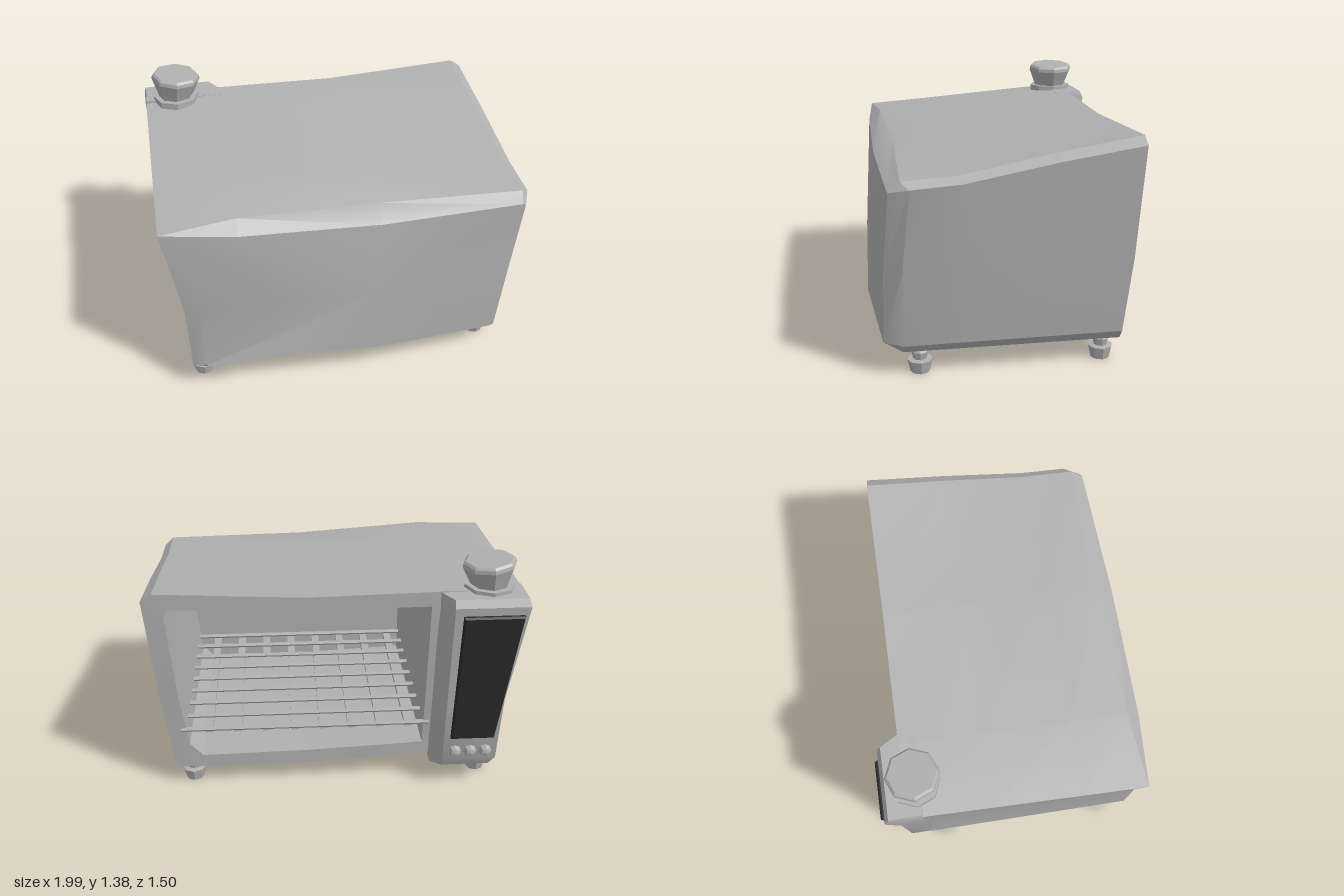
import * as THREE from 'three';
import { toCreasedNormals } from 'three/addons/utils/BufferGeometryUtils.js';

const steel = new THREE.MeshStandardMaterial({ color: 0xb0b0b0 });
steel.name = 'steel grey';
const black = new THREE.MeshStandardMaterial({ color: 0x2a2a2a });
black.name = 'display black';

// Skin a series of equal-length loops; both ends are closed with fans.
function loft(loops, startCentre, endCentre) {
  const pos = [];
  const tri = (a, b, c) => pos.push(...a, ...b, ...c);
  const mean = (l) => [0, 1, 2].map((k) => l.reduce((s, p) => s + p[k], 0) / l.length);
  const first = loops[0], last = loops[loops.length - 1], n = first.length;
  const c0 = startCentre || mean(first), c1 = endCentre || mean(last);
  for (let i = 0; i < n; i++) {
    const j = (i + 1) % n;
    tri(c0, first[i], first[j]);
    for (let k = 0; k + 1 < loops.length; k++) {
      const A = loops[k], B = loops[k + 1];
      tri(A[i], B[i], B[j]);
      tri(A[i], B[j], A[j]);
    }
    tri(c1, last[j], last[i]);
  }
  const g = new THREE.BufferGeometry();
  g.setAttribute('position', new THREE.Float32BufferAttribute(pos, 3));
  g.computeVertexNormals();
  return g;
}

function lathe(profile, sides = 8) {
  return new THREE.LatheGeometry(profile.map((p) => new THREE.Vector2(...p)), sides);
}

export function createModel() {
  const model = new THREE.Group();
  model.name = 'toasterOven';

  function add(name, geo, mat = steel, at = [0, 0, 0], parent = model) {
    const mesh = new THREE.Mesh(toCreasedNormals(geo, 0.45), mat);
    mesh.name = name;
    mesh.position.set(...at);
    parent.add(mesh);
    return mesh;
  }

  // Housing: loops run from the closed face, over the rim and into the cavity
  const rimZ = (y) => -0.55 - 0.06 * THREE.MathUtils.clamp((y - 0.35) / 0.45, 0, 1);
  const face = [
    [-0.82, 0.2, 0.7], [-0.64, 0.2, 0.72], [-0.56, 0.235, 0.725], [0.15, 0.2, 0.75], [0.82, 0.18, 0.7],
    [0.845, 0.19, 0.7], [0.89, 0.6, 0.69], [0.95, 1.01, 0.66], [0.93, 1.02, 0.665], [0.15, 1.025, 0.69],
    [-0.6, 1.06, 0.68], [-0.95, 1.05, 0.655], [-0.82, 0.6, 0.69], [-0.83, 0.21, 0.695]];
  const bevel = [
    [-0.85, 0.15, 0.64], [-0.62, 0.15, 0.62], [-0.55, 0.17, 0.6], [0.15, 0.125, 0.6], [0.85, 0.13, 0.6],
    [0.89, 0.18, 0.6], [0.945, 0.6, 0.6], [0.995, 1.03, 0.56], [0.95, 1.062, 0.6], [0.15, 1.085, 0.58],
    [-0.6, 1.125, 0.61], [-0.995, 1.1, 0.645], [-0.91, 0.6, 0.66], [-0.9, 0.18, 0.66]];
  const back = [
    [-0.85, 0.14], [-0.62, 0.145], [-0.55, 0.17], [0.15, 0.125], [0.86, 0.125],
    [0.9, 0.18], [0.945, 0.6], [0.99, 1.2], [0.93, 1.24], [0.15, 1.2],
    [-0.6, 1.215], [-0.985, 1.2], [-0.91, 0.6], [-0.9, 0.18]].map(([x, y]) => [x, y, rimZ(y)]);
  const opening = [
    [-0.5, 0.24], [-0.45, 0.24], [-0.4, 0.235], [0.15, 0.21], [0.74, 0.2],
    [0.81, 0.28], [0.845, 0.6], [0.88, 1.11], [0.86, 1.15], [0.15, 1.12],
    [-0.4, 1.13], [-0.5, 1.13], [-0.5, 0.6], [-0.5, 0.28]].map(([x, y]) => [x, y, rimZ(y)]);
  const cavityEnd = opening.map(([x, y]) => [x, y > 1 ? y - 0.13 : y, 0.58]);
  // Sagging roof line between the bevel and the rim
  const between = (z, t, sag) => bevel.map((p, i) => [
    THREE.MathUtils.lerp(p[0], back[i][0], t),
    THREE.MathUtils.lerp(p[1], back[i][1], t) - (i === 7 || i === 8 ? sag : 0), z]);
  const housing = loft(
    [face, bevel, between(0.3, 0.25, 0.025), between(-0.17, 0.64, 0.005), back, opening, cavityEnd],
    [0.1, 0.6, 0.738], [0.15, 0.6, 0.58]);
  add('housing', housing);

  // Control column beside the opening, lofted from top to bottom
  const levels = [[1.21, -0.98, -0.705], [1.17, -0.99, -0.727], [0.6, -0.912, -0.692],
    [0.2, -0.9, -0.667], [0.14, -0.87, -0.64]];
  add('controlColumn', loft(levels.map(([y, l, zb]) => [
    [l, y, -0.53], [-0.54, y, -0.53], [-0.54, y, -0.6], [-0.6, y, zb], [l, y, zb]])));

  // Display plate leaning with the column
  const plate = (inset, z0, z1) => [
    [-0.635 - inset, 0.35 + inset, z0], [-0.875 + inset, 0.35 + inset, z0],
    [-0.96 + inset, 1.125 - inset, z1], [-0.645 - inset, 1.125 - inset, z1]];
  add('display', loft([plate(0.008, -0.7, -0.75), plate(0, -0.69, -0.738), plate(0, -0.66, -0.7)]), black);

  // Three small buttons
  for (const x of [-0.665, -0.75, -0.835]) {
    const button = add('button', lathe([[0.025, -0.03], [0.036, 0.005], [0.025, 0.032], [0, 0.04]]),
      steel, [x, 0.26, -0.672]);
    button.rotation.x = -Math.PI / 2;
  }

  // Large dial on the roof
  add('dialBase', lathe([[0.132, -0.04], [0.132, 0.035], [0, 0.035]]), steel, [-0.805, 1.195, -0.55]);
  const dial = add('dial', lathe([[0.09, -0.02], [0.1, 0.02], [0.14, 0.125], [0.137, 0.145], [0.125, 0.157], [0, 0.157]]),
    steel, [-0.81, 1.21, -0.55]);
  dial.rotation.z = -0.1;

  // Heater ring under the cavity roof
  const heater = add('heaterRing',
    lathe([[0, -0.02], [0.23, -0.02], [0.25, -0.055], [0.28, -0.055], [0.305, 0.03]]),
    steel, [0.03, 1.065, -0.12]);
  heater.rotation.x = 0.11;

  // Wire rack: thin rods across, flat bars beneath
  const rack = new THREE.Group();
  rack.name = 'rack';
  model.add(rack);
  for (let i = 0; i < 9; i++) {
    const rod = add('rackRod', new THREE.CylinderGeometry(0.013, 0.013, 1.38, 6), steel,
      [0.16, 0.385, -0.56 + i * 0.135], rack);
    rod.rotation.z = Math.PI / 2;
  }
  for (let i = 0; i < 8; i++) {
    add('rackBar', new THREE.BoxGeometry(0.045, 0.025, 1.08), steel, [-0.42 + i * 0.16, 0.36, 0], rack);
  }

  // Four feet
  const footProfile = [[0, 0], [0.052, 0], [0.067, 0.068], [0.036, 0.072], [0.045, 0.112], [0.032, 0.135], [0.04, 0.2]];
  for (const x of [-0.838, 0.805]) {
    for (const z of [0.512, -0.462]) add('foot', lathe(footProfile), steel, [x, 0, z]);
  }
  return model;
}
